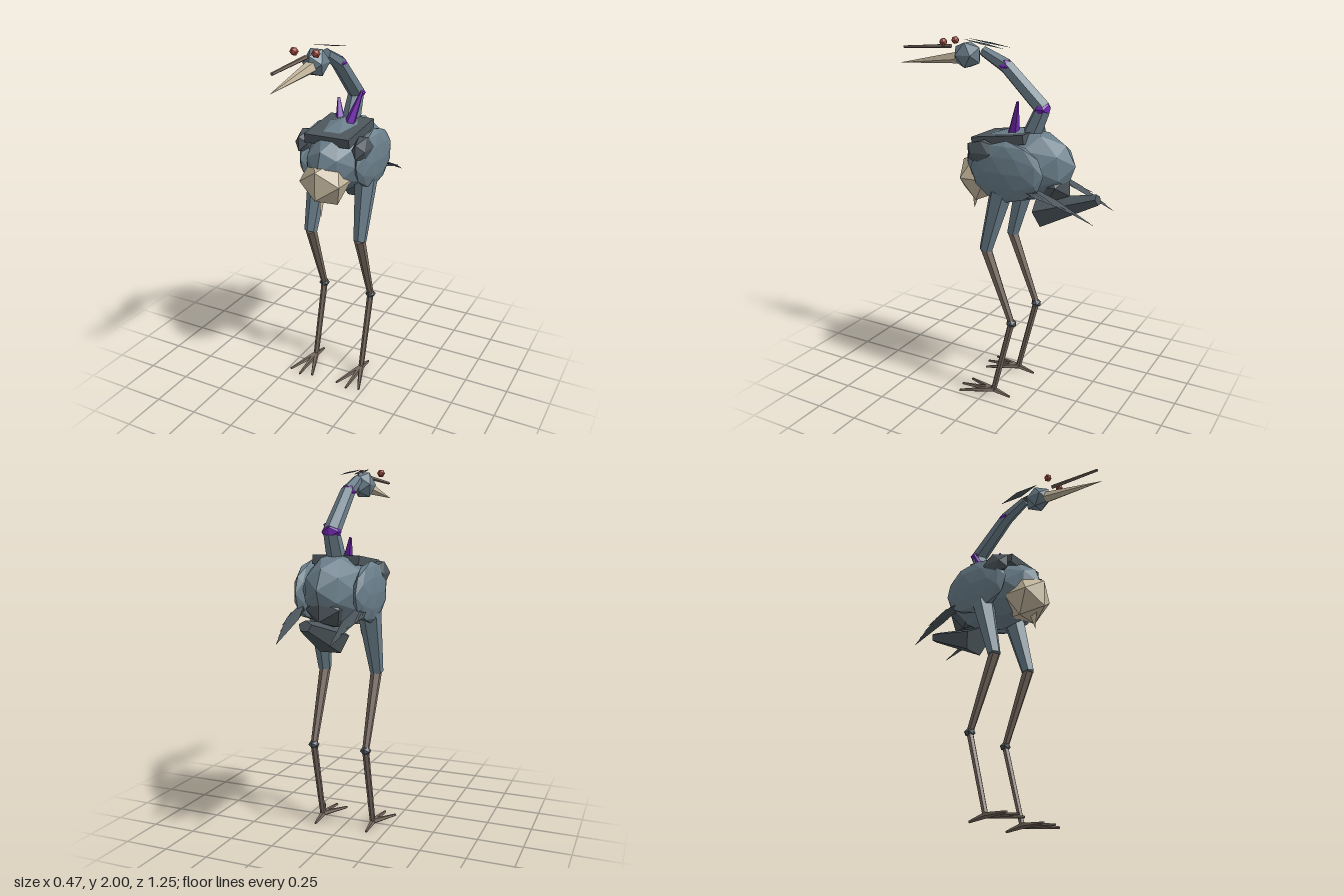
import * as THREE from 'three';

const paint = (name, color) => {
  const m = new THREE.MeshStandardMaterial({ color });
  m.name = name;
  return m;
};

export function createModel() {
  const slate = paint('slate plumage', 0x6b7f8b);
  const dark = paint('dark plumage', 0x4d575d);
  const cream = paint('cream', 0xc4b79d);
  const brown = paint('leg brown', 0x77695f);
  const purple = paint('purple', 0x7429b4);
  const red = paint('eye red', 0xb5574a);

  const bird = new THREE.Group();
  bird.name = 'wadingBird';
  const V = (p) => new THREE.Vector3(...p);

  // Adds a faceted mesh
  const add = (name, geo, mat) => {
    const g = geo.index ? geo.toNonIndexed() : geo;
    g.computeVertexNormals();
    const mesh = new THREE.Mesh(g, mat);
    mesh.name = name;
    bird.add(mesh);
    return mesh;
  };

  // Faceted ellipsoid, optionally pitched about x
  const blob = (name, mat, pos, radii, detail = 0, pitch = 0) => {
    const geo = new THREE.IcosahedronGeometry(1, detail).scale(...radii).rotateX(pitch);
    add(name, geo, mat).position.set(...pos);
  };

  // Tapered limb from a to b
  const limb = (name, mat, a, b, ra, rb, sides = 5, turn = 0) => {
    const from = V(a), dir = V(b).sub(from), len = dir.length();
    const geo = new THREE.CylinderGeometry(rb, ra, len, sides).rotateY(turn)
      .translate(0, len / 2, 0).rotateX(Math.PI / 2);
    const mesh = add(name, geo, mat);
    mesh.position.copy(from);
    mesh.lookAt(V(b));
    return mesh;
  };

  // Thin kite-shaped plate from a to b
  const plate = (name, mat, a, b, width, roll = 0) => {
    const from = V(a), len = from.distanceTo(V(b));
    const geo = new THREE.OctahedronGeometry(1)
      .scale(width / 2, 0.002, len / 2).rotateZ(roll).translate(0, 0, len / 2);
    const mesh = add(name, geo, mat);
    mesh.position.copy(from);
    mesh.lookAt(V(b));
  };

  // Trunk
  blob('body', slate, [0, 1.35, -0.12], [0.175, 0.205, 0.33], 1, 0.08);
  blob('rump', dark, [0, 1.27, -0.31], [0.11, 0.11, 0.13]);
  blob('chest', cream, [0, 1.26, 0.11], [0.14, 0.15, 0.14]);
  plate('bellyTuft', cream, [0, 1.26, 0.14], [0, 1.06, 0.163], 0.05, Math.PI / 2);
  const mantle = add('mantle', new THREE.BoxGeometry(0.265, 0.05, 0.31), dark);
  mantle.position.set(0, 1.495, -0.055);
  mantle.rotation.x = 0.13;
  const tail = limb('tail', dark, [0, 1.1, -0.255], [0, 1.215, -0.58], 0.1, 0.036, 5, Math.PI);
  tail.scale.y = 0.85;

  // Neck, bent at two knobs
  limb('neckBase', slate, [0, 1.47, -0.17], [0, 1.66, -0.255], 0.055, 0.043, 6);
  limb('neckMiddle', slate, [0, 1.66, -0.255], [0, 1.865, -0.04], 0.046, 0.04, 6);
  limb('neckTop', slate, [0, 1.865, -0.04], [0, 1.935, 0.1], 0.04, 0.028, 6);
  blob('lowerNeckKnob', purple, [0, 1.66, -0.255], [0.056, 0.046, 0.042], 0);
  blob('upperNeckKnob', purple, [0, 1.865, -0.04], [0.046, 0.04, 0.042], 0);
  limb('leftBackSpike', purple, [0.03, 1.5, -0.095], [0.085, 1.7, -0.152], 0.035, 0.008);
  limb('rightBackSpike', purple, [-0.04, 1.48, -0.15], [-0.088, 1.63, -0.215], 0.035, 0.008);

  // Head
  blob('head', slate, [0, 1.91, 0.197], [0.064, 0.078, 0.088]);
  limb('lowerBeak', cream, [0, 1.895, 0.26], [0, 1.845, 0.63], 0.034, 0.001);
  limb('upperBeak', brown, [0, 1.952, 0.3], [0, 1.932, 0.61], 0.012, 0.008);

  for (const s of [1, -1]) {
    const side = s > 0 ? 'left' : 'right';
    blob(side + 'Eye', red, [s * 0.06, 1.977, 0.31], [0.023, 0.023, 0.023]);
    plate(side + 'Crest', dark, [s * 0.025, 1.995, 0.21], [s * 0.04, 1.955, -0.05], 0.05);

    // Wing with a fan of trailing feathers
    blob(side + 'Wing', slate, [s * 0.168, 1.345, -0.13], [0.05, 0.165, 0.215], 1);
    blob(side + 'Shoulder', dark, [s * 0.17, 1.435, 0.01], [0.045, 0.075, 0.105]);
    for (let i = 0; i < 4; i++) {
      plate(side + 'WingFeather', dark, [s * 0.17, 1.32 - i * 0.012, -0.19 + i * 0.01],
        [s * (0.14 + i * 0.012), 1.12 + i * 0.025, -0.62 + i * 0.045], 0.07);
    }

    // Leg
    const x = s * 0.155;
    limb(side + 'Thigh', slate, [s * 0.147, 1.23, -0.09], [s * 0.157, 0.89, 0], 0.064, 0.037, 6);
    limb(side + 'Shin', brown, [x, 0.895, 0], [x, 0.48, -0.16], 0.032, 0.019, 6);
    blob(side + 'Knee', dark, [x, 0.48, -0.16], [0.032, 0.026, 0.032]);
    limb(side + 'LowerLeg', brown, [x, 0.48, -0.16], [x, 0.025, -0.045], 0.019, 0.016, 6);

    // Three forward toes and one behind
    for (const [dx, z] of [[-0.073, 0.14], [0, 0.163], [0.073, 0.14], [0, -0.15]]) {
      limb(side + 'Toe', brown, [x, 0.028, -0.045], [x + dx, 0.008, z], 0.017, 0.007);
    }
  }
  return bird;
}
